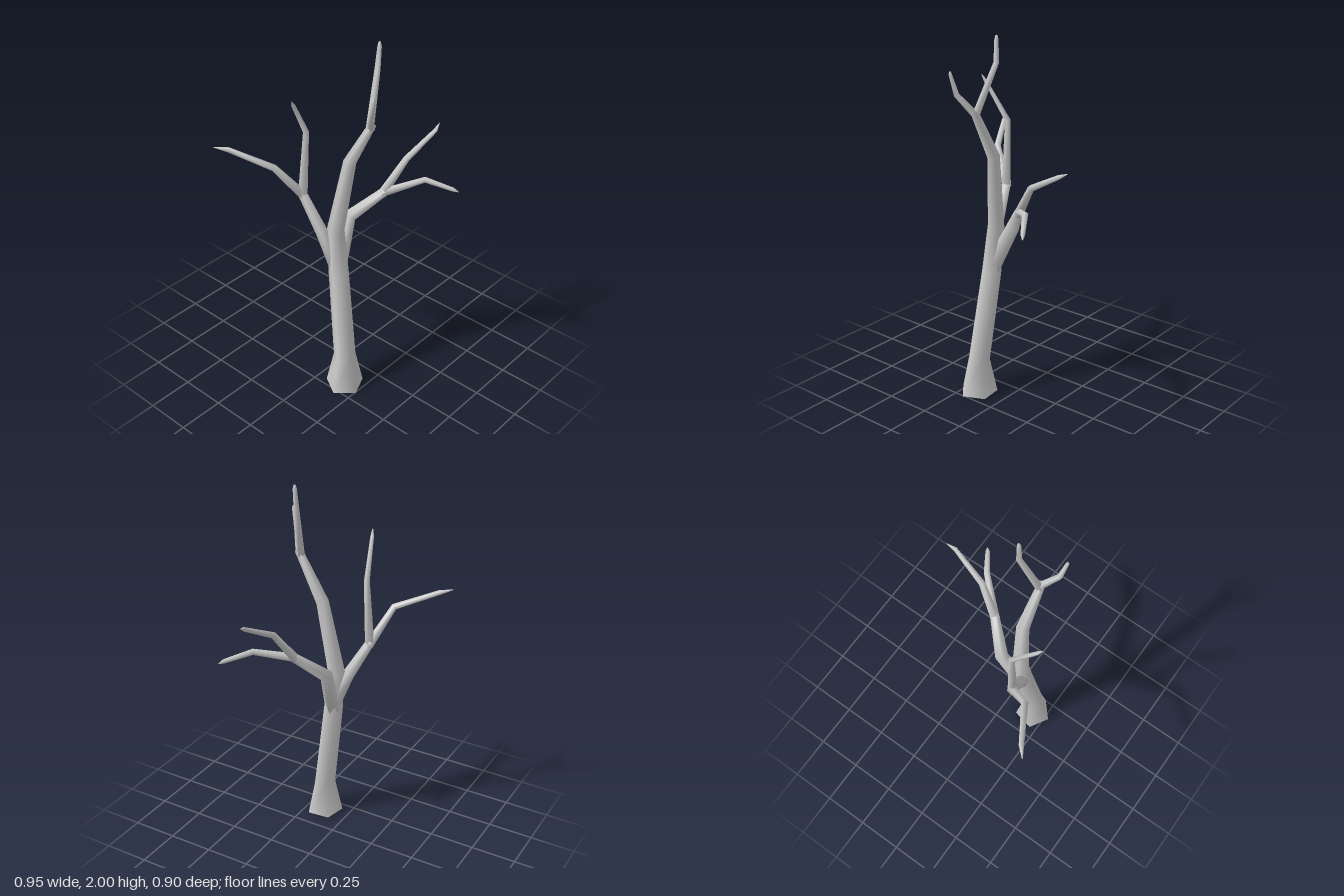
import * as THREE from 'three';

const SIDES = 5;
const material = new THREE.MeshStandardMaterial({ color: 0xcccccc, side: THREE.DoubleSide });

// Tapered limb lofted through rings given as [x, y, z, radius]
function limb(name, rings, { openStart = false, start = null, phase = 0 } = {}) {
  const centres = rings.map(([x, y, z]) => new THREE.Vector3(x, y, z));
  const last = rings.length - 1;
  const direction = (i) => centres[i + 1].clone().sub(centres[i]).normalize();
  const positions = [];
  const index = [];
  let tangent = new THREE.Vector3(0, 1, 0);
  const u = new THREE.Vector3(Math.cos(phase), 0, Math.sin(phase));

  rings.forEach((ring, i) => {
    // Ring plane halves the bend; its frame is carried along without twist
    let next;
    if (i === 0) next = start ? start.clone() : direction(0);
    else if (i === last) next = direction(i - 1);
    else next = direction(i - 1).add(direction(i)).normalize();
    u.applyQuaternion(new THREE.Quaternion().setFromUnitVectors(tangent, next));
    tangent = next;
    const v = new THREE.Vector3().crossVectors(tangent, u);
    for (let s = 0; s < SIDES; s++) {
      const a = (s / SIDES) * Math.PI * 2;
      const p = centres[i].clone()
        .addScaledVector(u, Math.cos(a) * ring[3])
        .addScaledVector(v, Math.sin(a) * ring[3]);
      positions.push(p.x, p.y, p.z);
      if (i < last) {
        const b = i * SIDES + s;
        const c = i * SIDES + ((s + 1) % SIDES);
        index.push(b, c, c + SIDES, b, c + SIDES, b + SIDES);
      }
    }
  });

  // Close the ends with fans
  const top = last * SIDES;
  for (let s = 1; s < SIDES - 1; s++) {
    index.push(top, top + s, top + s + 1);
    if (!openStart) index.push(0, s + 1, s);
  }

  const geometry = new THREE.BufferGeometry();
  geometry.setAttribute('position', new THREE.Float32BufferAttribute(positions, 3));
  geometry.setIndex(index);
  geometry.computeVertexNormals();
  const mesh = new THREE.Mesh(geometry, material);
  mesh.name = name;
  return mesh;
}

export function createModel() {
  const tree = new THREE.Group();
  tree.name = 'bareTree';

  // Trunk with flared open foot, running up into the central stem
  tree.add(limb('trunk', [
    [-0.17, 0, 0.152, 0.105],
    [-0.168, 0.2, 0.15, 0.062],
    [-0.135, 0.7, 0.078, 0.056],
    [-0.125, 0.95, 0.05, 0.048],
    [-0.085, 1.36, 0.11, 0.035],
    [-0.085, 1.62, 0.252, 0.021],
  ], { openStart: true, start: new THREE.Vector3(0, 1, 0), phase: Math.PI * 0.97 }));

  // Twigs at the top of the stem
  tree.add(limb('topTwigTall', [
    [-0.087, 1.59, 0.237, 0.021],
    [0.014, 1.865, 0.195, 0.015],
    [0.02, 1.98, 0.2, 0.011],
    [0.02, 2.0, 0.2, 0.005],
  ]));
  tree.add(limb('topTwigShort', [
    [-0.082, 1.6, 0.243, 0.02],
    [-0.153, 1.7, 0.3, 0.015],
    [-0.167, 1.805, 0.327, 0.009],
    [-0.168, 1.82, 0.328, 0.004],
  ]));

  // Left bough and its two twigs
  tree.add(limb('leftBough', [
    [-0.13, 0.72, 0.07, 0.046],
    [-0.005, 0.98, 0.04, 0.037],
    [0.13, 1.12, 0.163, 0.025],
  ]));
  tree.add(limb('leftTwigUpper', [
    [0.115, 1.1, 0.152, 0.026],
    [0.24, 1.28, 0.208, 0.018],
    [0.43, 1.382, 0.244, 0.012],
    [0.475, 1.404, 0.235, 0.002],
  ]));
  tree.add(limb('leftTwigLower', [
    [0.115, 1.11, 0.15, 0.024],
    [0.28, 1.178, 0.305, 0.017],
    [0.362, 1.13, 0.425, 0.012],
    [0.379, 1.116, 0.449, 0.003],
  ]));

  // Rear right bough and its two twigs
  tree.add(limb('rearBough', [
    [-0.135, 0.76, 0.06, 0.044],
    [-0.16, 0.93, -0.01, 0.035],
    [-0.188, 1.15, -0.13, 0.025],
  ]));
  tree.add(limb('rearTwigOuter', [
    [-0.18, 1.12, -0.118, 0.026],
    [-0.31, 1.31, -0.195, 0.019],
    [-0.43, 1.39, -0.395, 0.014],
    [-0.476, 1.402, -0.452, 0.002],
  ]));
  tree.add(limb('rearTwigInner', [
    [-0.186, 1.12, -0.12, 0.026],
    [-0.166, 1.49, -0.107, 0.016],
    [-0.285, 1.69, -0.07, 0.01],
    [-0.304, 1.722, -0.062, 0.002],
  ]));

  return tree;
}
